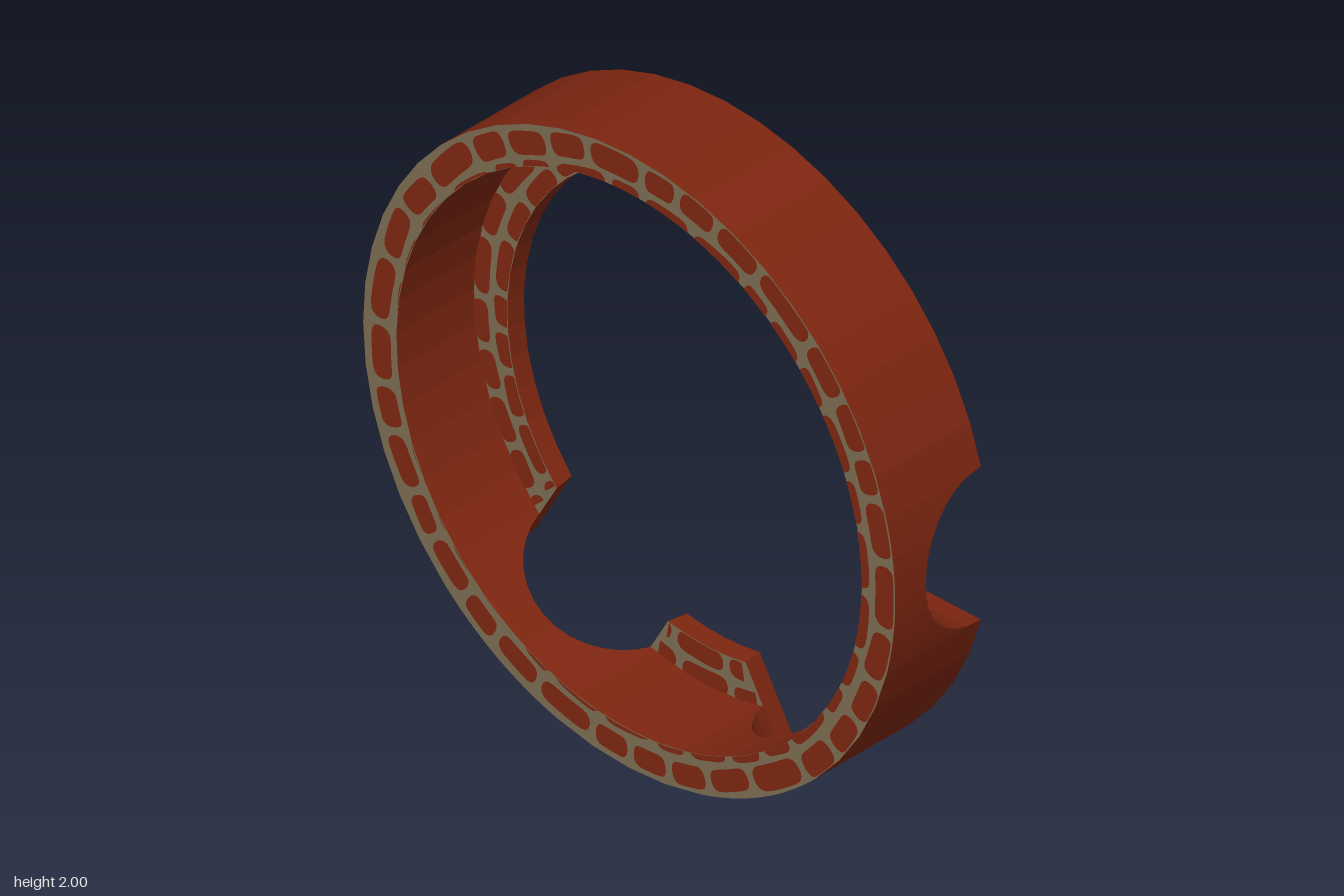
import * as THREE from 'three';

const OUT = 1, MID = 0.875, IN = 0.75;        // radii: outside, bore, flange lip
const FRONT = 0.185, BACK = -0.185, LEDGE = -0.12;
const NOTCH = 0.25;                           // radius of the round notches
const NOTCH_ANGLES = [-120, -60, 0].map(THREE.MathUtils.degToRad);
const LEDGE_T = Math.sqrt(NOTCH ** 2 - (LEDGE - BACK) ** 2);

function seeded(seed) {
  return () => (seed = (seed * 16807) % 2147483647) / 2147483647;
}

const point = (r, a, z) => [r * Math.cos(a), 1 + r * Math.sin(a), z];

// Columns around the ring: angle depends on radius so notch walls stay parallel
function makeColumns() {
  const columns = [];
  const phi0 = Math.asin(LEDGE_T / NOTCH);
  const phis = [-Math.PI / 2];
  for (let i = 0; i <= 14; i++) phis.push(-phi0 + (2 * phi0 * i) / 14);
  phis.push(Math.PI / 2);
  NOTCH_ANGLES.forEach((centre, n) => {
    phis.forEach((phi, i) => columns.push({
      angle: r => centre + Math.asin((NOTCH * Math.sin(phi)) / r),
      bottom: BACK + NOTCH * Math.max(0, Math.cos(phi)),
      open: i >= 1 && i <= 14,
    }));
    // plain stretch up to the next notch
    const next = n < 2 ? NOTCH_ANGLES[n + 1] : NOTCH_ANGLES[0] + 2 * Math.PI;
    const steps = n < 2 ? 4 : 28;
    for (let i = 1; i < steps; i++) columns.push({
      angle: r => {
        const half = Math.asin(NOTCH / r);
        return centre + half + ((next - centre - 2 * half) * i) / steps;
      },
      bottom: BACK,
      open: false,
    });
  });
  return columns;
}

// Closed L-shaped section of one column; open ones have no flange
function section(column, open) {
  const b = column.bottom, ledge = Math.max(b, LEDGE);
  const profile = open
    ? [[OUT, b], [OUT, FRONT], [MID, FRONT], [MID, b]]
    : [[OUT, b], [OUT, FRONT], [MID, FRONT], [MID, ledge], [IN, ledge], [IN, b]];
  return profile.map(([r, z]) => point(r, column.angle(r), z));
}

function geometryFrom(positions) {
  const g = new THREE.BufferGeometry();
  g.setAttribute('position', new THREE.Float32BufferAttribute(positions, 3));
  g.computeVertexNormals();
  return g;
}

function addQuad(list, a, b, c, d) {
  const same = (p, q) => Math.hypot(p[0] - q[0], p[1] - q[1], p[2] - q[2]) < 1e-6;
  if (!same(a, b) && !same(b, c)) list.push(...a, ...b, ...c);
  if (!same(a, d) && !same(c, d)) list.push(...a, ...c, ...d);
}

function buildRing() {
  const columns = makeColumns();
  const walls = [], faces = [];
  columns.forEach((column, i) => {
    const next = columns[(i + 1) % columns.length];
    const p = section(column, column.open), q = section(next, column.open);
    for (let k = 0; k < p.length; k++) {
      const m = (k + 1) % p.length;
      // the two front-facing bands carry mortar
      const front = k === 1 || (k === 3 && !column.open);
      addQuad(front ? faces : walls, p[k], q[k], q[m], p[m]);
    }
  });
  return { walls: geometryFrom(walls), faces: geometryFrom(faces) };
}

function inNotch(r, a) {
  return NOTCH_ANGLES.some(c =>
    Math.cos(a - c) > 0 && Math.abs(r * Math.sin(a - c)) < LEDGE_T + 0.004);
}

// One course of irregular rounded bricks, clipped to a band of the front
function addCourse(list, row, band, seed) {
  const random = seeded(seed);
  const widths = Array.from({ length: row.count }, () => 0.7 + 0.6 * random());
  const total = widths.reduce((s, w) => s + w, 0);
  const clip = r => THREE.MathUtils.clamp(r, band.min, band.max);
  let start = random();
  for (const w of widths) {
    const span = (w / total) * 2 * Math.PI;
    const length = span - 0.024 / row.r;
    const shift = (random() - 0.5) * 0.008, tilt = (random() - 0.5) * 0.014;
    const height = row.half * (0.92 + 0.16 * random());
    const steps = 16;
    const edge = i => {
      const s = -Math.cos((Math.PI * i) / steps);          // -1..1, dense at the ends
      const a = start + (length * (s + 1)) / 2;
      const h = height * Math.pow(Math.max(0, 1 - Math.abs(s) ** 7), 0.5);
      const r = row.r + 0.016 * Math.cos(a) + 0.006 * Math.sin(a) + shift + tilt * s;
      return { a, lo: clip(r - h), hi: clip(r + h) };
    };
    for (let i = 0; i < steps; i++) {
      const e = edge(i), f = edge(i + 1);
      if (band.notched && (inNotch(e.lo, e.a) || inNotch(f.lo, f.a))) continue;
      if (e.hi - e.lo + f.hi - f.lo < 1e-5) continue;
      addQuad(list, point(e.lo, e.a, band.z), point(e.hi, e.a, band.z),
        point(f.hi, f.a, band.z), point(f.lo, f.a, band.z));
    }
    start += span;
  }
}

export function createModel() {
  const brick = new THREE.MeshStandardMaterial({ color: 0x7e2610 });
  brick.name = 'brick red';
  const mortar = new THREE.MeshStandardMaterial({ color: 0x7c6c52 });
  mortar.name = 'mortar grey';

  const group = new THREE.Group();
  group.name = 'notchedRing';
  const add = (name, geometry, material) => {
    const mesh = new THREE.Mesh(geometry, material);
    mesh.name = name;
    group.add(mesh);
  };

  const ring = buildRing();
  add('ringBody', ring.walls, brick);
  add('mortarFaces', ring.faces, mortar);

  // Brick courses from the outside in; the middle one straddles rim and flange
  const rows = [
    { r: 0.948, half: 0.036, count: 34 },
    { r: 0.863, half: 0.029, count: 33 },
    { r: 0.785, half: 0.029, count: 32 },
  ];
  const bands = [
    { name: 'rimBricks', min: MID, max: OUT - 0.004, z: FRONT + 0.002, notched: false },
    { name: 'flangeBricks', min: IN, max: MID, z: LEDGE + 0.002, notched: true },
  ];
  for (const band of bands) {
    const positions = [];
    rows.forEach((row, i) => addCourse(positions, row, band, 1234 + 977 * i));
    add(band.name, geometryFrom(positions), brick);
  }
  return group;
}
